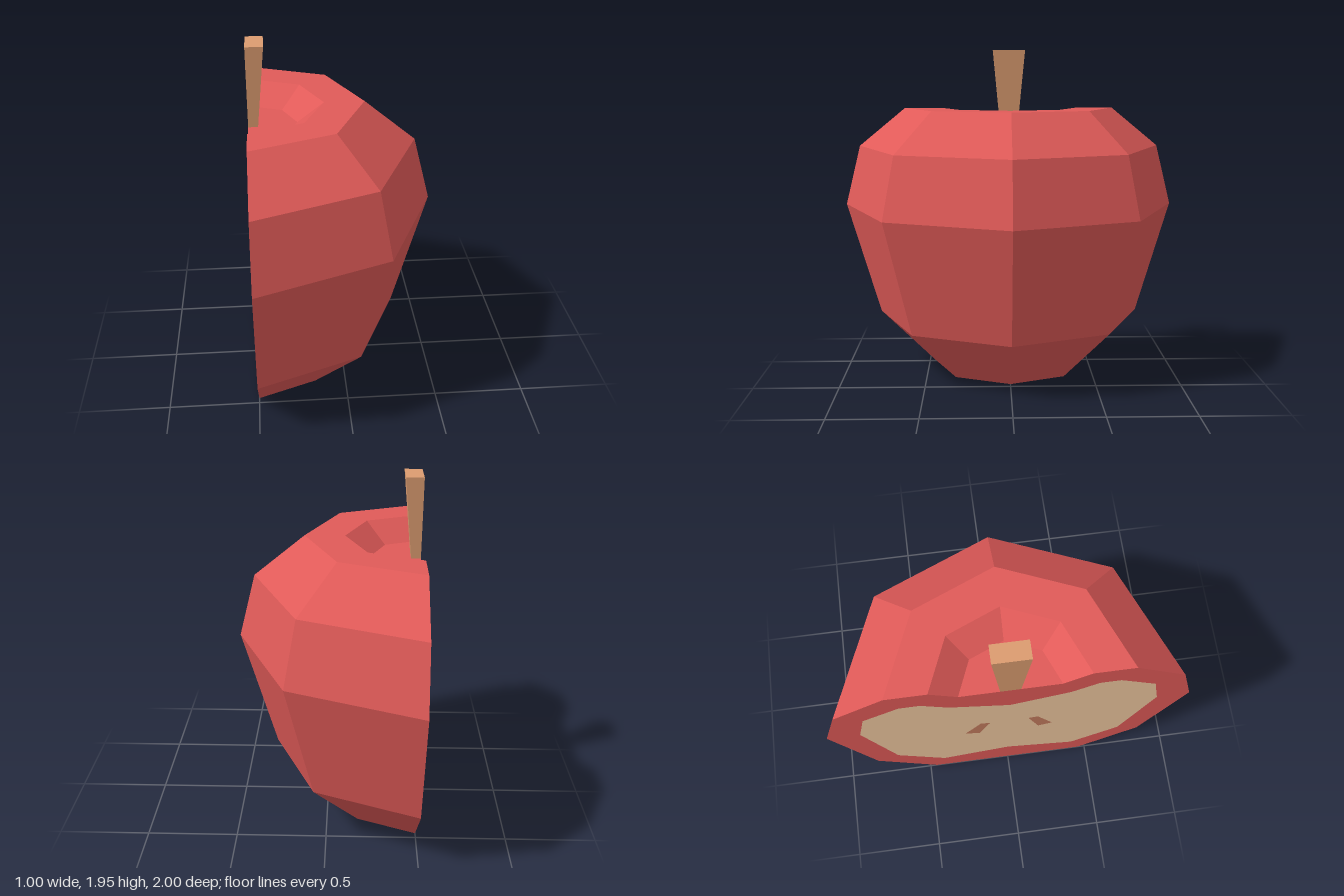
import * as THREE from 'three';

const CUT_X = -0.5; // plane of the cut, which also holds the apple's axis

function part(name, geometry, color) {
  const material = new THREE.MeshStandardMaterial({ color, flatShading: true });
  const mesh = new THREE.Mesh(geometry, material);
  mesh.name = name;
  mesh.position.x = CUT_X;
  return mesh;
}

const toPoints = (list) => list.map(([a, b]) => new THREE.Vector2(a, b));

// Closed outline from a half profile running bottom to top, mirrored about the axis
function mirrored(half) {
  const left = half.filter(([r]) => r > 0).reverse().map(([r, y]) => [-r, y]);
  return toPoints([...half, ...left]);
}

// Flat face lying in the cut plane and facing -x
function cutFace(outline, holes = []) {
  const shape = new THREE.Shape(outline);
  holes.forEach((h) => shape.holes.push(new THREE.Path(h)));
  return new THREE.ShapeGeometry(shape).rotateY(-Math.PI / 2);
}

export function createModel() {
  const group = new THREE.Group();
  group.name = 'halfApple';

  const skinProfile = [
    [0, 0], [0.46, 0], [0.8, 0.33], [1, 1.01], [0.91, 1.37],
    [0.63, 1.6], [0.41, 1.6], [0.265, 1.49], [0, 1.49],
  ];
  const fleshProfile = [
    [0, 0.26], [0.4, 0.17], [0.67, 0.41], [0.82, 1.0], [0.77, 1.27],
    [0.57, 1.42], [0.46, 1.42], [0.32, 1.32], [0, 1.22],
  ];
  const seedOutline = [[0.17, 0.7], [0.25, 0.73], [0.16, 0.91], [0.108, 0.9]];

  // Faceted skin: half of an eight-sided turned body with a sunken top
  const skin = new THREE.LatheGeometry(toPoints(skinProfile), 4, 0, Math.PI);
  group.add(part('skin', skin, 0xe05a58));

  // Cut side: skin rim, flesh and two seeds, fitted into each other
  const flesh = mirrored(fleshProfile);
  const seeds = [1, -1].map((s) => toPoints(seedOutline.map(([z, y]) => [s * z, y])));
  group.add(part('cutSkinRim', cutFace(mirrored(skinProfile), [flesh]), 0xe05a58));
  group.add(part('flesh', cutFace(flesh, seeds), 0xf0c8a0));
  seeds.forEach((s, i) => group.add(part(i ? 'backSeed' : 'frontSeed', cutFace(s), 0xc47c5e)));

  // Stem: halved square post that widens upwards
  const bottom = 1.49, top = 1.945;
  const stem = new THREE.BoxGeometry(1, top - bottom, 2).translate(0.5, (top + bottom) / 2, 0);
  const p = stem.attributes.position;
  for (let i = 0; i < p.count; i++) {
    const w = p.getY(i) > 1.7 ? 0.096 : 0.053;
    p.setX(i, p.getX(i) * w);
    p.setZ(i, p.getZ(i) * w);
  }
  stem.computeVertexNormals();
  group.add(part('stem', stem, 0xdb9c70));

  return group;
}
